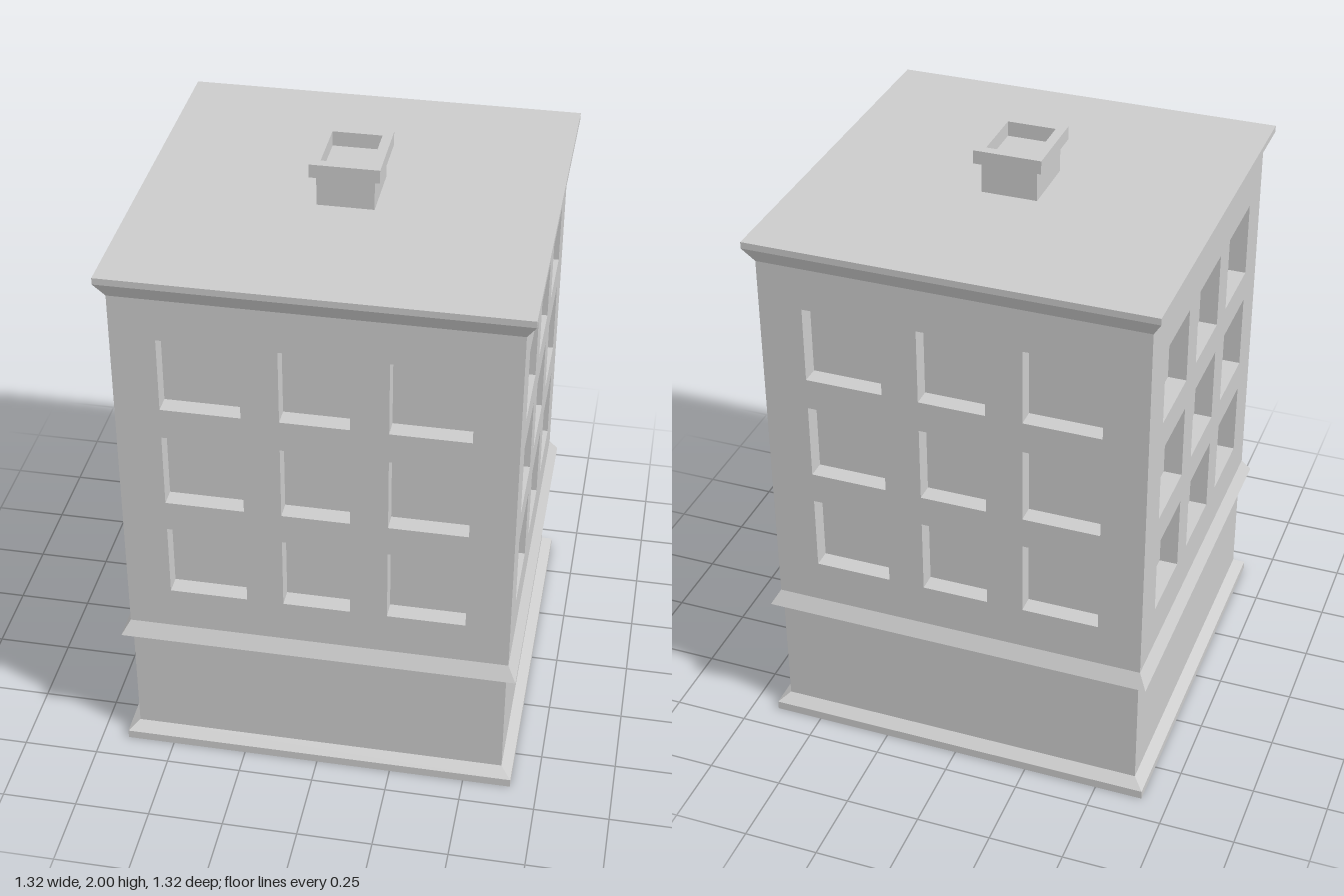
import * as THREE from 'three';

const material = new THREE.MeshStandardMaterial({ color: 0xcccccc, flatShading: true });
const WALL = 0.63, WALL_BOTTOM = 0.51, WALL_TOP = 1.775, RECESS = 0.06;

function part(name, geometry) {
  const mesh = new THREE.Mesh(geometry, material);
  mesh.name = name;
  return mesh;
}

// Sweeps a [half width, height] profile round a square; extraZ lengthens it to a rectangle
function squareLathe(profile, extraZ = 0) {
  const points = profile.map(([r, y]) => new THREE.Vector2(r * Math.SQRT2, y));
  const geometry = new THREE.LatheGeometry(points, 4, Math.PI / 4).toNonIndexed();
  const pos = geometry.attributes.position;
  for (let i = 0; i < pos.count; i++) {
    const z = pos.getZ(i);
    pos.setZ(i, z + Math.sign(z) * extraZ);
  }
  geometry.computeVertexNormals();
  return geometry;
}

// Inward-facing box, open towards +z, its mouth at z = 0
function recess(width, height) {
  const geometry = new THREE.BoxGeometry(width, height, RECESS);
  geometry.setIndex(Array.from(geometry.index.array).slice(0, 30));
  geometry.scale(1, 1, -1);
  geometry.translate(0, 0, -RECESS / 2);
  geometry.computeVertexNormals();
  return geometry;
}

// One upper wall with a 3 x 3 grid of recessed windows
function facade(name, middleWidth) {
  const group = new THREE.Group();
  group.name = name;
  const wall = new THREE.Shape([
    new THREE.Vector2(-WALL, WALL_BOTTOM), new THREE.Vector2(WALL, WALL_BOTTOM),
    new THREE.Vector2(WALL, WALL_TOP), new THREE.Vector2(-WALL, WALL_TOP),
  ]);
  const height = 0.255;
  for (const y of [0.785, 1.145, 1.505]) {
    for (const [x, width] of [[-0.358, 0.255], [0, middleWidth], [0.358, 0.255]]) {
      const w = width / 2, h = height / 2;
      wall.holes.push(new THREE.Path([
        new THREE.Vector2(x - w, y - h), new THREE.Vector2(x - w, y + h),
        new THREE.Vector2(x + w, y + h), new THREE.Vector2(x + w, y - h),
      ]));
      const window = part('windowRecess', recess(width, height));
      window.position.set(x, y, 0);
      group.add(window);
    }
  }
  group.add(part('upperWall', new THREE.ShapeGeometry(wall)));
  return group;
}

export function createModel() {
  const model = new THREE.Group();
  model.name = 'building';

  // Plinth, ground floor and belt moulding
  model.add(part('groundFloor', squareLathe([
    [0, 0], [0.66, 0], [0.66, 0.03], [0.625, 0.058], [0.625, 0.435],
    [0.658, 0.462], [WALL, WALL_BOTTOM],
  ])));

  // Upper floors: front, left, back and right walls
  ['front', 'left', 'back', 'right'].forEach((side, i) => {
    const wall = facade(side + 'Facade', i % 2 ? 0.25 : 0.22);
    const angle = i * Math.PI / 2;
    wall.rotation.y = angle;
    wall.position.set(Math.sin(angle) * WALL, 0, Math.cos(angle) * WALL);
    model.add(wall);
  });

  // Cornice and flat roof
  model.add(part('corniceAndRoof', squareLathe([
    [WALL, WALL_TOP], [0.66, 1.828], [0.66, 1.85], [0, 1.85],
  ])));

  // Chimney with a projecting cap and a shallow flue
  model.add(part('chimney', squareLathe([
    [0.092, 1.85], [0.092, 1.955], [0.112, 1.955], [0.112, 2],
    [0.08, 2], [0.08, 1.95], [0, 1.95],
  ], 0.018)));

  return model;
}
